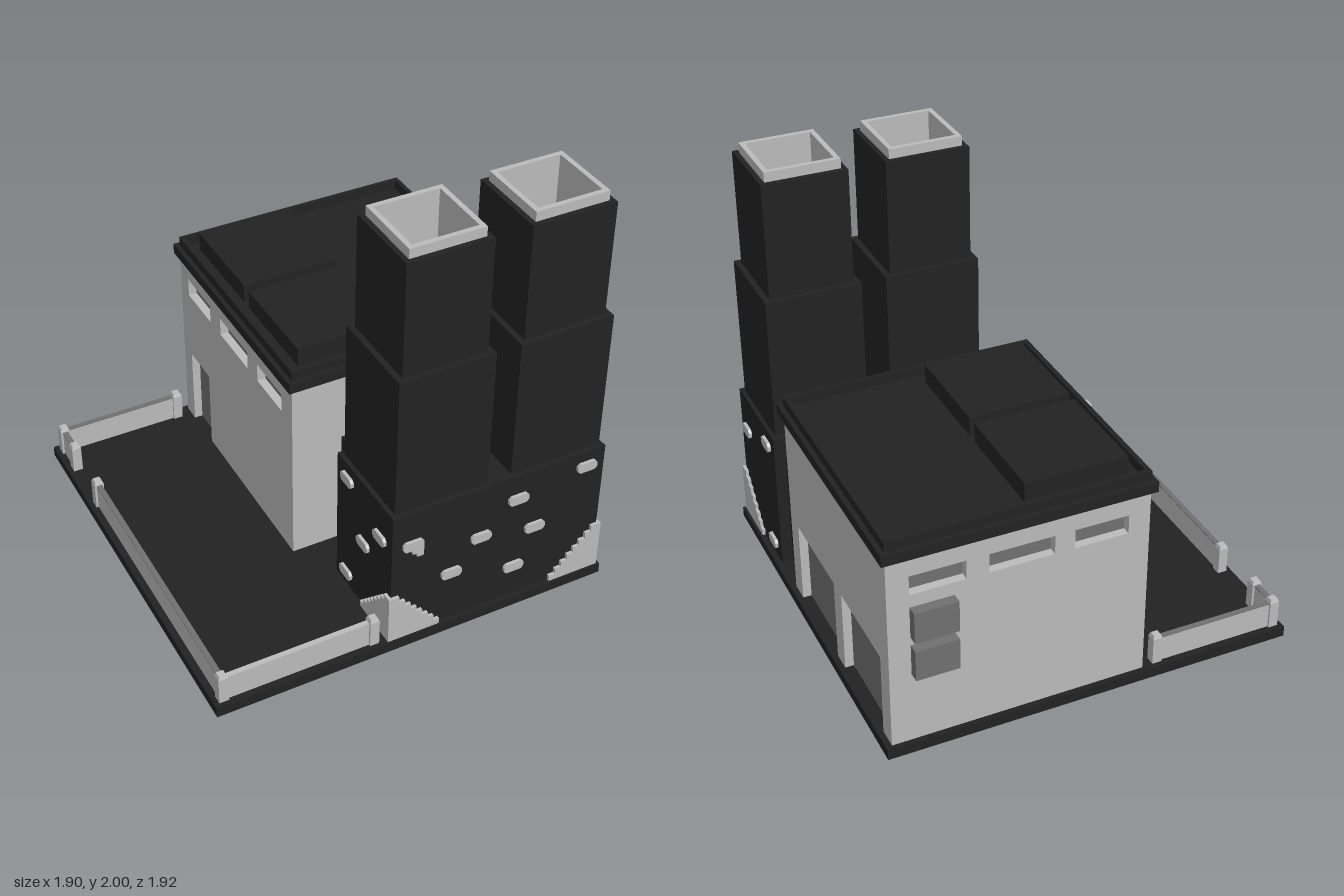
import * as THREE from 'three';

const mat = (name, color) => {
  const m = new THREE.MeshStandardMaterial({ color });
  m.name = name;
  return m;
};

export function createModel() {
  const dark = mat('charcoal', 0x222222);
  const light = mat('paleGrey', 0xbbbbbb);
  const grey = mat('midGrey', 0x707070);
  const model = new THREE.Group();

  const group = (name) => {
    const g = new THREE.Group();
    g.name = name;
    model.add(g);
    return g;
  };
  const add = (name, geo, m, parent = model) => {
    const mesh = new THREE.Mesh(geo, m);
    mesh.name = name;
    parent.add(mesh);
    return mesh;
  };
  // Box from min and max along each axis
  const box = (name, m, x0, x1, y0, y1, z0, z1, parent) => {
    const b = add(name, new THREE.BoxGeometry(x1 - x0, y1 - y0, z1 - z0), m, parent);
    b.position.set((x0 + x1) / 2, (y0 + y1) / 2, (z0 + z1) / 2);
    return b;
  };
  const poly = (pts) => new THREE.Shape(pts.map((p) => new THREE.Vector2(p[0], p[1])));
  const rect = (x0, x1, y0, y1) => poly([[x0, y0], [x1, y0], [x1, y1], [x0, y1]]);
  const extrude = (shape, depth) => new THREE.ExtrudeGeometry(shape, { depth, bevelEnabled: false });
  // Hollow rectangular frame lying flat, rising from y0 to y1
  const frame = (name, m, x0, x1, z0, z1, t, y0, y1, parent) => {
    const s = rect(x0, x1, -z1, -z0);
    s.holes.push(rect(x0 + t, x1 - t, -z1 + t, -z0 - t));
    const f = add(name, extrude(s, y1 - y0), m, parent);
    f.rotation.x = -Math.PI / 2;
    f.position.y = y0;
  };

  box('groundSlab', dark, -0.95, 0.95, 0, 0.05, -0.937, 0.962);

  // Main hall: solid core behind walls with recessed openings
  const X0 = -0.243, X1 = 0.923, Z0 = -0.914, Z1 = 0.259, T = 0.04;
  const hall = group('hall');
  box('doorAndWindowPanels', grey, X0 + T, X1 - T, 0.04, 0.98, Z0 + T, Z1 - T, hall);
  const wall = (name, u0, u1, holes, turn, x, z) => {
    const s = rect(u0, u1, 0.03, 0.98);
    holes.forEach((h) => s.holes.push(rect(...h)));
    const w = add(name, extrude(s, T), light, hall);
    w.rotation.y = turn * Math.PI / 2;
    w.position.set(x, 0, z);
  };
  const win = (a, b) => [a, b, 0.795, 0.885];
  wall('frontWall', X0, X1, [], 0, 0, Z1 - T);
  wall('doorWall', -Z1, -Z0, [[-0.164, 0.285, 0.05, 0.445], [0.375, 0.82, 0.05, 0.445]], 1, X1 - T, 0);
  wall('backWall', -X1, -X0, [win(-0.825, -0.58), win(-0.48, -0.19), win(-0.1, 0.145)], 2, 0, Z0 + T);
  wall('sideWall', Z0, Z1,
    [win(-0.83, -0.585), win(-0.475, -0.185), win(-0.085, 0.155), [-0.83, -0.63, 0.05, 0.445]], -1, X0 + T, 0);

  // Roof with raised rim and two flat housings
  const roof = group('roof');
  box('roofSlab', dark, X0 - 0.022, X1 + 0.022, 0.98, 1.03, Z0 - 0.022, Z1 + 0.022, roof);
  frame('roofRim', dark, X0, X1, Z0, Z1, 0.022, 1.03, 1.075, roof);
  for (const z of [-0.838, -0.304]) box('roofHousing', dark, -0.173, 0.292, 1.03, 1.12, z, z + 0.484, roof);

  // Wall units on the back
  for (const y of [0.395, 0.585]) box('wallUnit', grey, 0.632, 0.826, y, y + 0.148, -0.962, Z0);

  // Passage and chimney base
  box('passage', dark, 0, 0.87, 0.05, 0.635, 0.25, 0.46);
  const BX0 = -0.122, BX1 = 0.922, BZ = 0.938, P = 0.015;
  box('chimneyBase', dark, BX0, BX1, 0.05, 0.735, 0.452, BZ);

  // Two stepped chimneys with open pale liners
  for (const cx of [0.121, 0.681]) {
    const c = group('chimney');
    const cz = 0.695;
    const sq = (h) => [cx - h, cx + h, cz - h, cz + h];
    box('lowerStack', dark, cx - 0.222, cx + 0.222, 0.735, 1.415, cz - 0.22, cz + 0.22, c);
    frame('upperStack', dark, ...sq(0.195), 0.025, 1.415, 1.955, c);
    frame('liner', light, ...sq(0.171), 0.023, 1.415, 2, c);
  }

  // Exposed stones; each face maps its own coordinate u to local x
  const stones = group('exposedStones');
  const faces = {
    front: { turn: 0, pos: [0, 0, BZ], sign: 1 },
    right: { turn: 1, pos: [BX1, 0, 0], sign: -1 },
    left: { turn: -1, pos: [BX0, 0, 0], sign: 1 },
  };
  const plate = (name, pts, face) => {
    const f = faces[face];
    const p = add(name, extrude(poly(pts.map(([u, y]) => [u * f.sign, y])), P), light, stones);
    p.rotation.y = f.turn * Math.PI / 2;
    p.position.set(...f.pos);
  };
  const stone = (face, u, y) => {
    const w = 0.049, h = 0.024, k = 0.013;
    plate('stone', [[u - w, y - h + k], [u - w + k, y - h], [u + w - k, y - h], [u + w, y - h + k],
      [u + w, y + h - k], [u + w - k, y + h], [u - w + k, y + h], [u - w, y + h - k]], face);
  };
  [[0.83, 0.66], [0.488, 0.61], [0.31, 0.467], [0.583, 0.415], [0.17, 0.32], [0.488, 0.222]]
    .forEach(([u, y]) => stone('front', u, y));
  [[0.84, 0.562], [0.547, 0.66], [0.547, 0.122]].forEach(([u, y]) => stone('right', u, y));
  [[0.55, 0.66], [0.84, 0.562], [0.7, 0.412], [0.55, 0.122]].forEach(([u, y]) => stone('left', u, y));
  plate('brokenStone', [[-0.074, 0.572], [-0.062, 0.585], [0.012, 0.585], [0.024, 0.573], [0.024, 0.495],
    [-0.008, 0.495], [-0.008, 0.515], [-0.03, 0.515], [-0.03, 0.537], [-0.062, 0.537], [-0.074, 0.55]], 'front');

  // Stair-edged stone patches at the front corners
  const patch = (face, corner, dir) => {
    const n = 8, pts = [[corner, 0.05]];
    for (let i = 0; i < n; i++) {
      const y = 0.295 - i * 0.245 / n;
      pts.push([corner + dir * (i ? 0.05 + (i - 1) * 0.029 : 0), y]);
      pts.push([corner + dir * (0.05 + i * 0.029), y]);
    }
    pts.push([corner + dir * (0.05 + (n - 1) * 0.029), 0.05]);
    plate('cornerPatch', pts, face);
  };
  patch('front', BX0 - P, 1);
  patch('front', BX1 + P, -1);
  patch('right', BZ + P, -1);
  patch('left', BZ + P, -1);

  // Yard fence: low rails between posts with chamfered tops
  const fence = group('fence');
  const FX = -0.905, FB = -0.89, FF = 0.916, R = 0.0125, LOW = -0.002;
  const rail = (x0, x1, z0, z1, bottom, top) => {
    box('fenceRail', light, x0 - R, x1 + R, bottom, 0.172, z0 - R, z1 + R, fence);
    box('railCap', top, x0 - R, x1 + R, 0.172, 0.176, z0 - R, z1 + R, fence);
  };
  rail(FX, -0.316, FB, FB, 0.04, grey);
  rail(FX, FX, FB, -0.742, 0.04, grey);
  rail(FX, FX, -0.452, FF, LOW, grey);
  rail(FX, -0.194, FF, FF, LOW, light);
  for (const [x, z] of [[-0.316, FB], [FX, FB], [FX, -0.742], [FX, -0.452], [FX, FF], [-0.194, FF]]) {
    const h = 0.0225;
    box('fencePost', light, x - h, x + h, LOW + (x === -0.316 ? 0.04 : 0), 0.18, z - h, z + h, fence);
    const top = new THREE.CylinderGeometry(0.016 * Math.SQRT2, h * Math.SQRT2, 0.016, 4, 1, false, Math.PI / 4);
    add('postTop', top.toNonIndexed(), light, fence).position.set(x, 0.188, z);
    fence.children.at(-1).geometry.computeVertexNormals();
  }

  return model;
}
